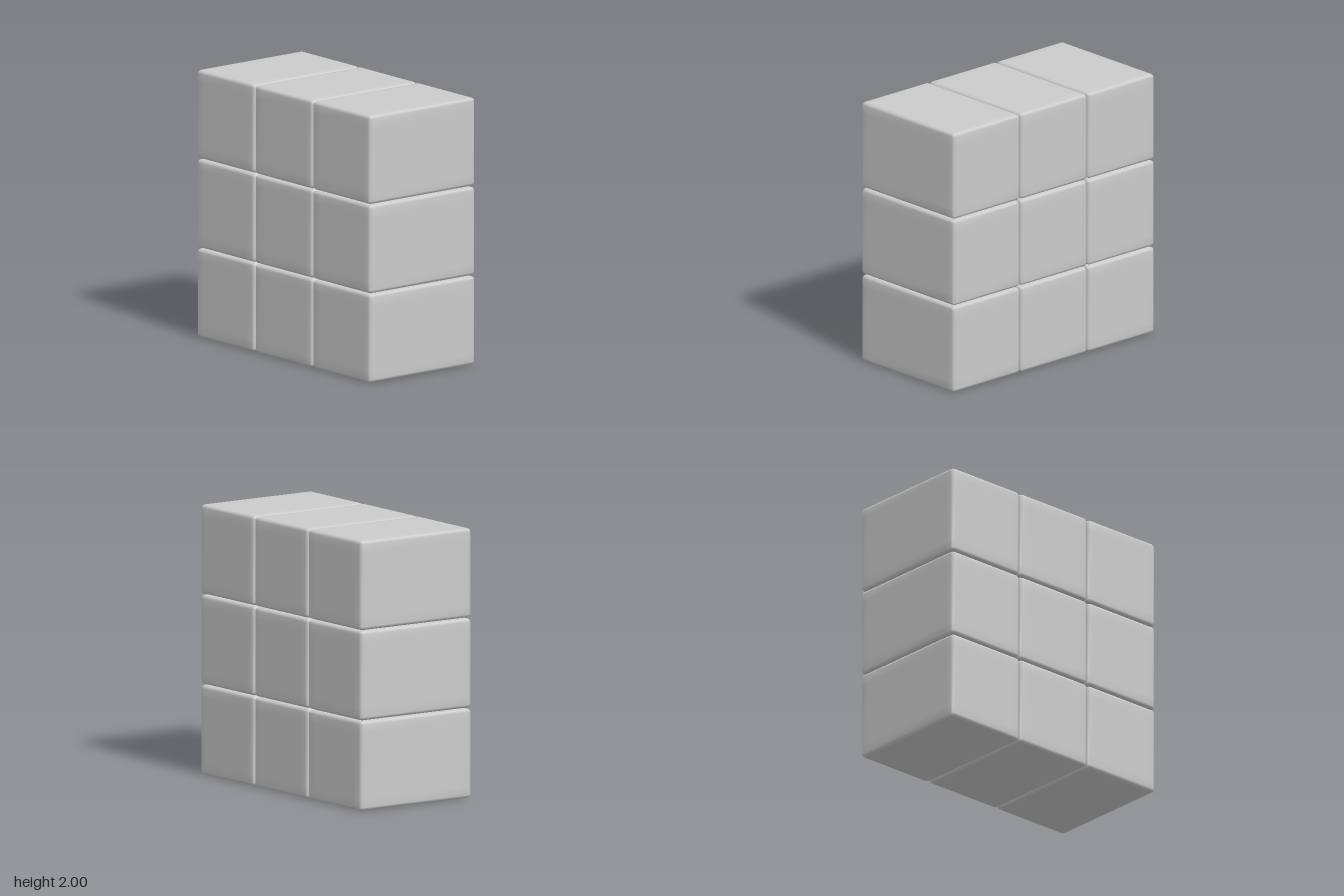
import * as THREE from 'three';
import { mergeVertices } from 'three/addons/utils/BufferGeometryUtils.js';

const SIZE = [0.662, 0.662, 1]; // one block
const PITCH = 0.669;            // spacing between block centres
const RADIUS = 0.025;           // rounded edge
const SUPPORT = 0.09;           // inner edge loop that softens the shading

// Box with rounded edges and a support loop on each face, smooth shaded
function softBlockGeometry() {
  let geo = new THREE.BoxGeometry(1, 1, 1, 5, 5, 5);
  geo.deleteAttribute('normal');
  geo.deleteAttribute('uv');
  geo = mergeVertices(geo, 1e-4);
  const pos = geo.attributes.position;
  const inset = [SUPPORT, RADIUS, 0];
  for (let i = 0; i < pos.count; i++) {
    // grid step from the centre: 0 support loop, 1 edge loop, 2 outer edge
    const v = [pos.getX(i), pos.getY(i), pos.getZ(i)];
    const step = v.map((c) => Math.round(Math.abs(c) * 5 - 0.5));
    const outer = step.filter((s) => s === 2).length;
    const p = v.map((c, a) => {
      const half = SIZE[a] / 2;
      const d = step[a] === 2
        ? half - RADIUS + RADIUS / Math.sqrt(outer)
        : half - inset[step[a]];
      return Math.sign(c) * d;
    });
    pos.setXYZ(i, ...p);
  }
  geo.computeVertexNormals();
  return geo;
}

export function createModel() {
  const model = new THREE.Group();
  model.name = 'blockWall';
  const geo = softBlockGeometry();
  const mat = new THREE.MeshStandardMaterial({ color: 0xcccccc });

  // Three rows of three blocks
  for (let row = 0; row < 3; row++) {
    for (let col = 0; col < 3; col++) {
      const block = new THREE.Mesh(geo, mat);
      block.name = `blockRow${row + 1}Column${col + 1}`;
      block.position.set((col - 1) * PITCH, SIZE[1] / 2 + row * PITCH, 0);
      model.add(block);
    }
  }
  return model;
}
